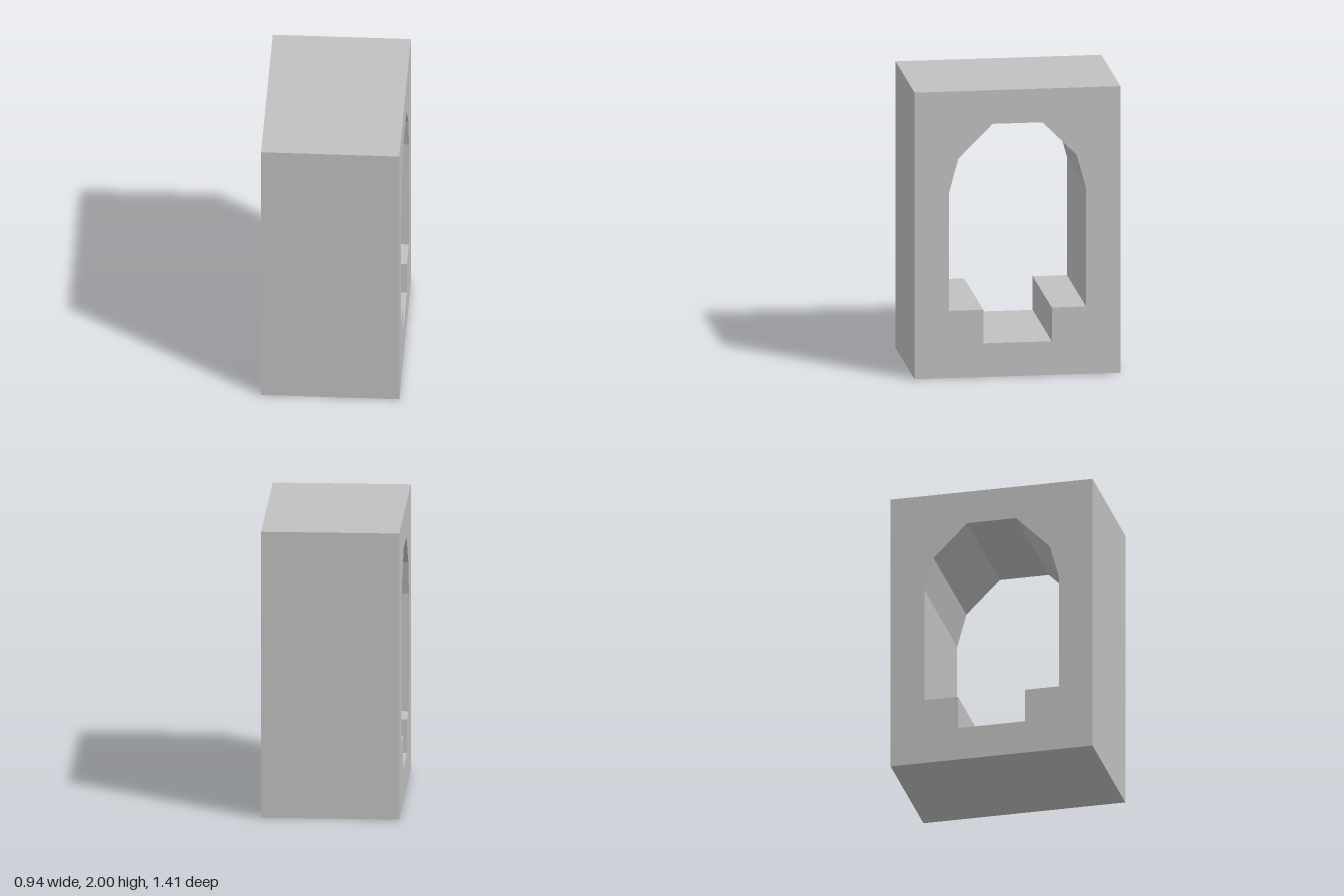
import * as THREE from 'three';

export function createModel() {
  const model = new THREE.Group();
  const stone = new THREE.MeshStandardMaterial({ color: 0xc0c0c0 });
  stone.name = 'light grey';

  const width = 0.94, height = 2, halfDepth = 0.706;

  // Rectangular outer wall outline, drawn in the z-y plane
  const outline = new THREE.Shape([
    new THREE.Vector2(-halfDepth, 0),
    new THREE.Vector2(halfDepth, 0),
    new THREE.Vector2(halfDepth, height),
    new THREE.Vector2(-halfDepth, height),
  ]);

  // Half of the tunnel profile: sunken channel, ledge, wall and faceted arch
  const half = [
    [0.235, 0.235], [0.235, 0.47], [0.47, 0.47],
    [0.47, 1.294], [0.406, 1.529], [0.171, 1.765],
  ];
  const mirrored = half.map(([z, y]) => [-z, y]).reverse();
  const profile = [...half, ...mirrored].map(([z, y]) => new THREE.Vector2(z, y));
  outline.holes.push(new THREE.Path(profile));

  // Extrude across the width, then turn the tunnel to run along x
  const geometry = new THREE.ExtrudeGeometry(outline, { depth: width, bevelEnabled: false });
  geometry.translate(0, 0, -width / 2);
  geometry.rotateY(Math.PI / 2);

  const block = new THREE.Mesh(geometry, stone);
  block.name = 'tunnelBlock';
  model.add(block);
  return model;
}
